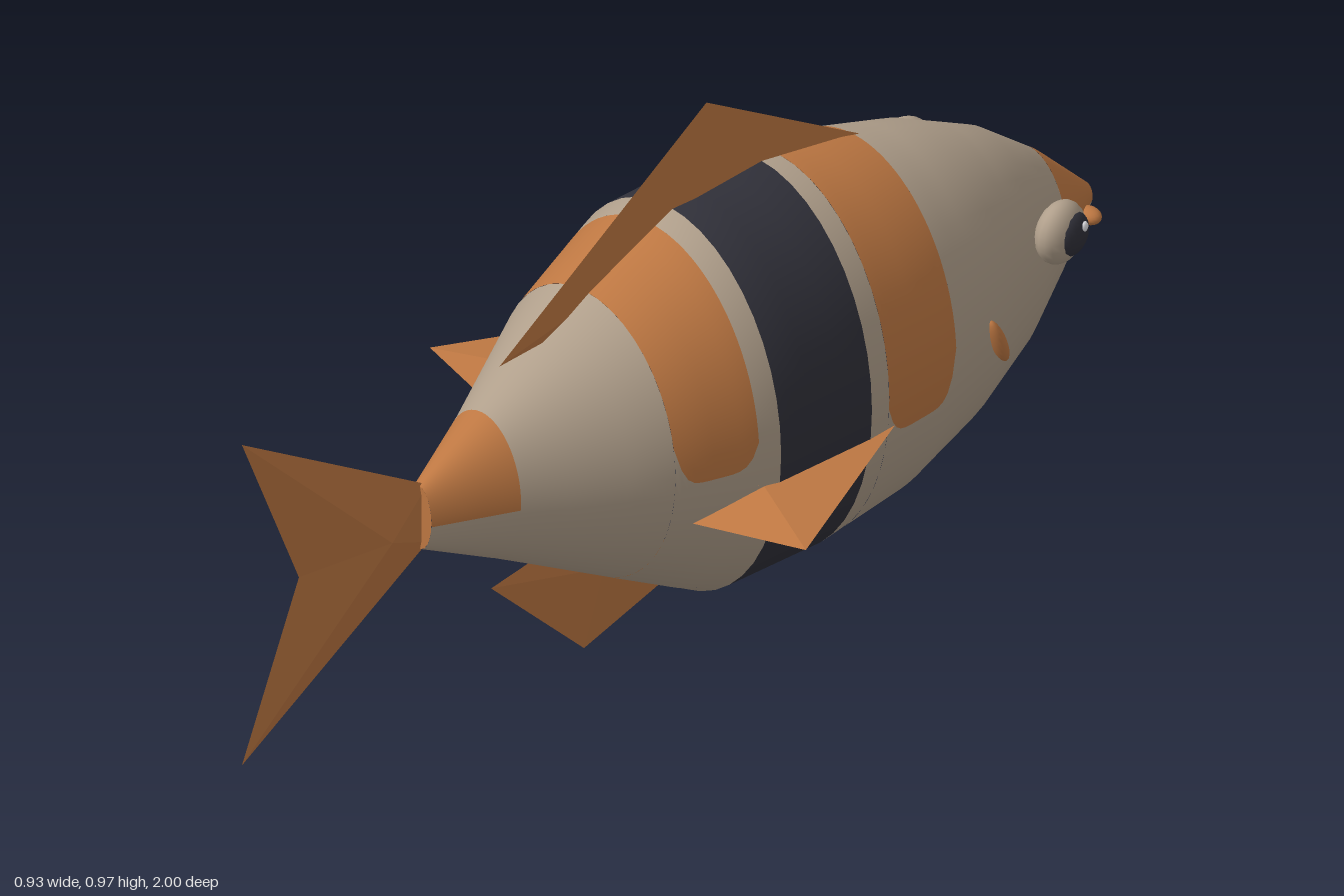
import * as THREE from 'three';

const mat = (name, color) => Object.assign(new THREE.MeshStandardMaterial({ color }), { name });

// Body stations from tail to mouth: z, top y, bottom y, half width
const STATIONS = [
  [-1, 0.445, 0.4, 0.015], [-0.88, 0.56, 0.295, 0.085], [-0.76, 0.65, 0.205, 0.15],
  [-0.6, 0.725, 0.13, 0.215], [-0.42, 0.775, 0.075, 0.262], [-0.225, 0.81, 0.05, 0.28],
  [-0.01, 0.805, 0.055, 0.28], [0.185, 0.715, 0.16, 0.222], [0.42, 0.58, 0.285, 0.1],
  [0.58, 0.49, 0.365, 0.03],
];

function section(z) {
  let i = 0;
  while (i < STATIONS.length - 2 && z > STATIONS[i + 1][0]) i++;
  const a = STATIONS[i], b = STATIONS[i + 1];
  const t = (z - a[0]) / (b[0] - a[0]);
  const [top, bottom, w] = [1, 2, 3].map((k) => a[k] + (b[k] - a[k]) * t);
  return { c: (top + bottom) / 2, h: (top - bottom) / 2, w };
}

// Point on the body; the angle runs from the back (0) towards +x
function bodyPoint(z, angle) {
  const { c, h, w } = section(z);
  return new THREE.Vector3(w * Math.sin(angle), c + h * Math.cos(angle), z);
}

function bodyNormal(z, angle) {
  const dz = bodyPoint(Math.min(z + 0.07, 0.58), angle).sub(bodyPoint(Math.max(z - 0.07, -1), angle));
  const da = bodyPoint(z, angle + 0.05).sub(bodyPoint(z, angle - 0.05));
  return dz.cross(da).normalize();
}

// Patch of body skin between two lengths and two angle limits
function skin(z0, z1, from, to) {
  const rows = Math.max(8, Math.round((z1 - z0) / 0.012)), cols = 44;
  const pos = [], nor = [], index = [];
  for (let i = 0; i <= rows; i++) {
    const z = z0 + ((z1 - z0) * i) / rows;
    for (let j = 0; j <= cols; j++) {
      const angle = from(z) + ((to(z) - from(z)) * j) / cols;
      pos.push(...bodyPoint(z, angle).toArray());
      nor.push(...bodyNormal(z, angle).toArray());
      if (i < rows && j < cols) {
        const a = i * (cols + 1) + j, b = a + cols + 1;
        index.push(a, b, a + 1, b, b + 1, a + 1);
      }
    }
  }
  const g = new THREE.BufferGeometry();
  g.setAttribute('position', new THREE.Float32BufferAttribute(pos, 3));
  g.setAttribute('normal', new THREE.Float32BufferAttribute(nor, 3));
  g.setIndex(index);
  return g;
}

// Lens-shaped fin: an outline joined to a raised point on each face
function finGeometry(points, centre, offset) {
  let outline = points.map((p) => new THREE.Vector3(...p));
  const c = new THREE.Vector3(...centre), o = new THREE.Vector3(...offset);
  const area = new THREE.Vector3();
  outline.forEach((p, i) => {
    const q = outline[(i + 1) % outline.length];
    area.add(p.clone().sub(c).cross(q.clone().sub(c)));
  });
  if (area.dot(o) < 0) outline = outline.reverse();
  const a = c.clone().add(o), b = c.clone().sub(o), tris = [];
  outline.forEach((p, i) => {
    const q = outline[(i + 1) % outline.length];
    tris.push(a, p, q, b, q, p);
  });
  const g = new THREE.BufferGeometry().setFromPoints(tris);
  g.computeVertexNormals();
  return g;
}

export function createModel() {
  const model = new THREE.Group();
  const beige = mat('beige scales', 0xb09f8b);
  const orange = mat('orange', 0xbd7742);
  const dark = mat('dark band', 0x303039);
  const shine = mat('eye shine', 0xe4e4e8);

  const add = (name, geometry, material, parent = model) => {
    const mesh = new THREE.Mesh(geometry, material);
    mesh.name = name;
    parent.add(mesh);
    return mesh;
  };

  // Plain rings of the body
  const body = new THREE.Group();
  body.name = 'body';
  model.add(body);
  const ring = (name, z0, z1, m) => add(name, skin(z0, z1, () => -Math.PI, () => Math.PI), m, body);
  ring('headSkin', -0.865, -0.45, beige);
  ring('frontGap', -0.27, -0.225, beige);
  ring('darkBand', -0.225, -0.01, dark);
  ring('rearGap', -0.01, 0.03, beige);
  ring('rearSkin', 0.185, 0.43, beige);

  // Orange saddles with rounded lower corners, and the beige skin below them
  const saddle = (name, z0, z1, yLeft, yRight, round0, round1) => {
    const limit = (y) => (z) => {
      const u = (2 * (z - z0)) / (z1 - z0) - 1;
      const rise = (u < 0 ? round0 : round1) * Math.abs(u) ** 5;
      const { c, h } = section(z);
      return Math.acos(THREE.MathUtils.clamp((y + rise - c) / h, -1, 1));
    };
    const left = limit(yLeft), right = limit(yRight);
    add(name, skin(z0, z1, (z) => -right(z), left), orange, body);
    add(name + 'Underside', skin(z0, z1, left, (z) => 2 * Math.PI - right(z)), beige, body);
  };
  saddle('nosePatch', -1, -0.865, 0.415, 0.415, 0, 0.08);
  saddle('frontSaddle', -0.45, -0.27, 0.35, 0.35, 0.1, 0.06);
  saddle('rearSaddle', 0.03, 0.185, 0.415, 0.39, 0.05, 0.08);
  saddle('tailPatch', 0.43, 0.58, 0.42, 0.42, 0, 0.0);

  // Closed ends of the body
  [[-1, Math.PI], [0.58, 0]].forEach(([z, turn]) => {
    const { c, h, w } = section(z);
    const cap = add(z < 0 ? 'mouthEnd' : 'tailEnd', new THREE.CircleGeometry(1, 22), orange, body);
    cap.scale.set(w, h, 1);
    cap.position.set(0, c, z);
    cap.rotation.y = turn;
  });

  // Upright fins
  const upright = (name, outline, [z, y], thick) =>
    add(name, finGeometry(outline.map(([pz, py]) => [0, py, pz]), [0, y, z], [thick, 0, 0]), orange);
  upright('tailFin', [[0.56, 0.485], [1, 0.745], [0.865, 0.425], [1, 0.105], [0.56, 0.37]], [0.67, 0.425], 0.028);
  upright('dorsalFin', [[0.39, 0.65], [-0.1, 0.975], [-0.46, 0.765], [-0.2, 0.68], [0.2, 0.66]], [-0.05, 0.75], 0.017);
  upright('bellyFin', [[0.41, 0.215], [0.19, 0.005], [-0.04, 0.075], [0.02, 0.18], [0.25, 0.24]], [0.16, 0.16], 0.018);

  // Paired parts
  for (const s of [1, -1]) {
    const side = s > 0 ? 'left' : 'right';
    const blob = (name, radius, size, at, material, parent) => {
      const mesh = add(name, new THREE.SphereGeometry(radius, 18, 12), material, parent);
      mesh.scale.set(...size);
      mesh.position.set(...at);
      return mesh;
    };

    // Side fin
    const outline = [[0.27, 0.37, -0.29], [0.467, 0.37, 0.11], [0.215, 0.328, 0.142], [0.18, 0.35, -0.05]];
    add(side + 'SideFin', finGeometry(outline.map(([x, y, z]) => [s * x, y, z]),
      [s * 0.27, 0.358, 0.02], [0, 0.016, 0]), orange);

    // Eye, turned slightly forwards
    const eye = new THREE.Group();
    eye.name = side + 'Eye';
    eye.position.set(s * 0.195, 0.532, -0.752);
    eye.rotation.y = s * 0.2;
    model.add(eye);
    blob('eyeball', 1, [0.036, 0.058, 0.058], [0, 0, 0], beige, eye);
    blob('pupil', 1, [0.022, 0.041, 0.041], [s * 0.02, 0, -0.006], dark, eye);
    blob('eyeShine', 1, [0.006, 0.01, 0.01], [s * 0.037, 0.014, -0.018], shine, eye);

    // Gill mark and lip
    const gill = blob(side + 'Gill', 1, [0.018, 0.05, 0.014], [s * 0.224, 0.4, -0.576], orange);
    gill.rotation.x = 0.38;
    blob(side + 'Lip', 1, [0.026, 0.015, 0.02], [s * 0.044, 0.413, -0.963], orange);
  }
  return model;
}
